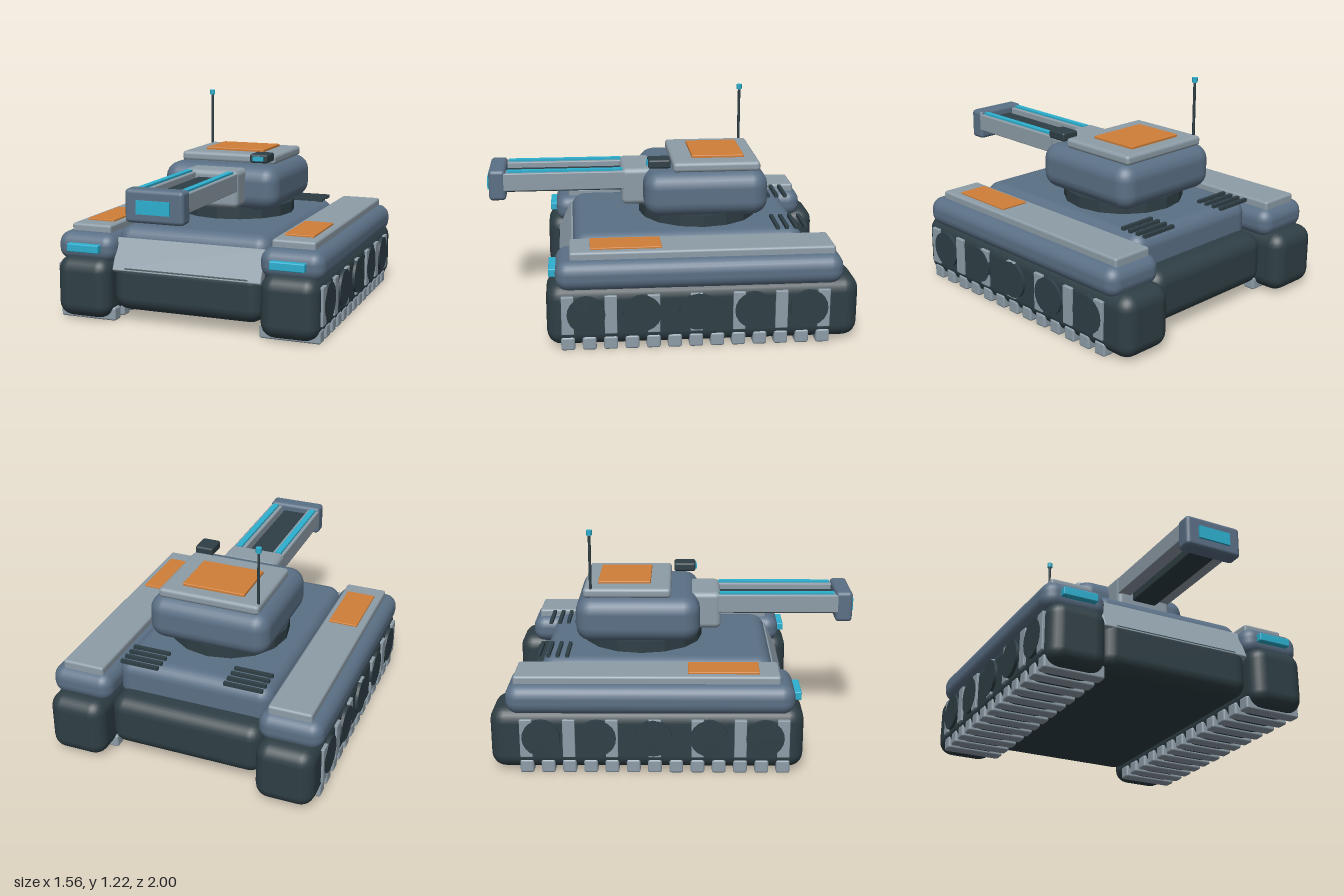
import * as THREE from 'three';
import { RoundedBoxGeometry } from 'three/addons/geometries/RoundedBoxGeometry.js';

const material = (name, color, flatShading = false) => {
  const m = new THREE.MeshStandardMaterial({ color, flatShading });
  m.name = name;
  return m;
};

export function createModel() {
  const model = new THREE.Group();
  model.name = 'tank';
  const blue = material('slate blue', 0x5b7086);
  const grey = material('light grey', 0x8e9da8);
  const dark = material('dark steel', 0x2f3f45);
  const cyan = material('cyan glow', 0x2cb0d0);
  const orange = material('orange panel', 0xd07f38);

  const add = (name, geometry, mat, parent = model) => {
    const mesh = new THREE.Mesh(geometry, mat);
    mesh.name = name;
    parent.add(mesh);
    return mesh;
  };
  // Box given by its limits on each axis; a radius rounds its edges.
  const box = (name, mat, [x0, x1], [y0, y1], [z0, z1], radius = 0, parent = model) => {
    const size = [x1 - x0, y1 - y0, z1 - z0];
    const geometry = radius
      ? new RoundedBoxGeometry(...size, 3, radius)
      : new THREE.BoxGeometry(...size);
    const mesh = add(name, geometry, mat, parent);
    mesh.position.set((x0 + x1) / 2, (y0 + y1) / 2, (z0 + z1) / 2);
    return mesh;
  };
  // Same box on the left and, mirrored, on the right.
  const pair = (name, mat, [x0, x1], y, z, radius = 0, parent = model) => {
    box(name + 'Left', mat, [x0, x1], y, z, radius, parent);
    box(name + 'Right', mat, [-x1, -x0], y, z, radius, parent);
  };

  // Hull
  box('lowerHull', dark, [-0.44, 0.44], [0.065, 0.36], [-0.89, 0.61], 0.08);
  box('deck', blue, [-0.45, 0.45], [0.28, 0.53], [-0.76, 0.525], 0.08);
  const glacis = add('frontPlate', new RoundedBoxGeometry(0.87, 0.192, 0.06, 2, 0.008), grey);
  glacis.position.set(0, 0.37, 0.543);
  glacis.rotation.x = -0.43;

  // Rear deck vents
  for (let i = 0; i < 4; i++) {
    const z = -0.768 + i * 0.052;
    pair('vent', dark, [0.19, 0.41], [0.528, 0.547], [z - 0.01, z + 0.01]);
  }

  // Tracks, fenders and their fittings
  pair('track', dark, [0.437, 0.762], [0.015, 0.36], [-1, 0.672], 0.08);
  pair('fender', blue, [0.422, 0.777], [0.325, 0.49], [-0.912, 0.622], 0.07);
  pair('fenderPlate', grey, [0.473, 0.713], [0.47, 0.53], [-0.87, 0.545], 0.014);
  pair('fenderPanel', orange, [0.506, 0.672], [0.525, 0.54], [0.055, 0.435], 0.004);
  pair('headlight', cyan, [0.496, 0.69], [0.39, 0.436], [0.61, 0.657], 0.006);

  // Track pads, with a side link on every second one
  for (let i = 0; i < 13; i++) {
    const z = 0.561 - i * 0.1137;
    pair('trackPad', grey, [0.425, 0.764], [0, 0.075], [z - 0.037, z + 0.037], 0.012);
    if (i % 2 === 0) pair('trackLink', grey, [0.74, 0.775], [0.095, 0.307], [z - 0.033, z + 0.033], 0.004);
  }

  // Road wheels
  const wheelGeometry = new THREE.CylinderGeometry(0.102, 0.102, 0.04, 20).rotateZ(Math.PI / 2);
  for (const side of [-1, 1]) {
    for (let i = 0; i < 5; i++) {
      add('roadWheel', wheelGeometry, dark).position.set(side * 0.758, 0.205, 0.464 - i * 0.297);
    }
  }

  // Turret
  const turret = new THREE.Group();
  turret.name = 'turret';
  model.add(turret);
  const ringGeometry = new THREE.CylinderGeometry(0.34, 0.34, 0.08, 16).toNonIndexed();
  ringGeometry.computeVertexNormals();
  add('turretRing', ringGeometry, dark, turret).position.set(0, 0.555, -0.205);
  box('turretBody', blue, [-0.35, 0.35], [0.58, 0.837], [-0.572, 0.122], 0.09, turret);
  box('roofPlate', grey, [-0.29, 0.29], [0.83, 0.886], [-0.528, -0.04], 0.02, turret);
  box('hatch', orange, [-0.18, 0.18], [0.88, 0.901], [-0.45, -0.155], 0.005, turret);
  box('sight', dark, [0.185, 0.292], [0.858, 0.908], [-0.025, 0.1], 0.012, turret);
  box('sightLens', cyan, [0.207, 0.27], [0.87, 0.896], [0.095, 0.108], 0, turret);

  // Antenna
  add('antenna', new THREE.CylinderGeometry(0.008, 0.008, 0.34, 8), dark, turret)
    .position.set(-0.275, 1.03, -0.485);
  add('antennaTip', new THREE.CylinderGeometry(0.016, 0.016, 0.028, 10), cyan, turret)
    .position.set(-0.275, 1.201, -0.485);

  // Gun with twin rails
  const gun = new THREE.Group();
  gun.name = 'gun';
  turret.add(gun);
  box('mantlet', grey, [-0.165, 0.165], [0.615, 0.826], [0.06, 0.242], 0.03, gun);
  box('barrel', dark, [-0.073, 0.073], [0.68, 0.785], [0.2, 0.92], 0.008, gun);
  pair('rail', grey, [0.085, 0.16], [0.71, 0.812], [0.2, 0.92], 0.006, gun);
  pair('railGlow', cyan, [0.106, 0.141], [0.806, 0.823], [0.235, 0.885], 0, gun);
  box('muzzle', blue, [-0.162, 0.162], [0.655, 0.83], [0.892, 0.988], 0.022, gun);
  box('muzzleGlow', cyan, [-0.092, 0.092], [0.705, 0.775], [0.982, 1], 0, gun);

  return model;
}
